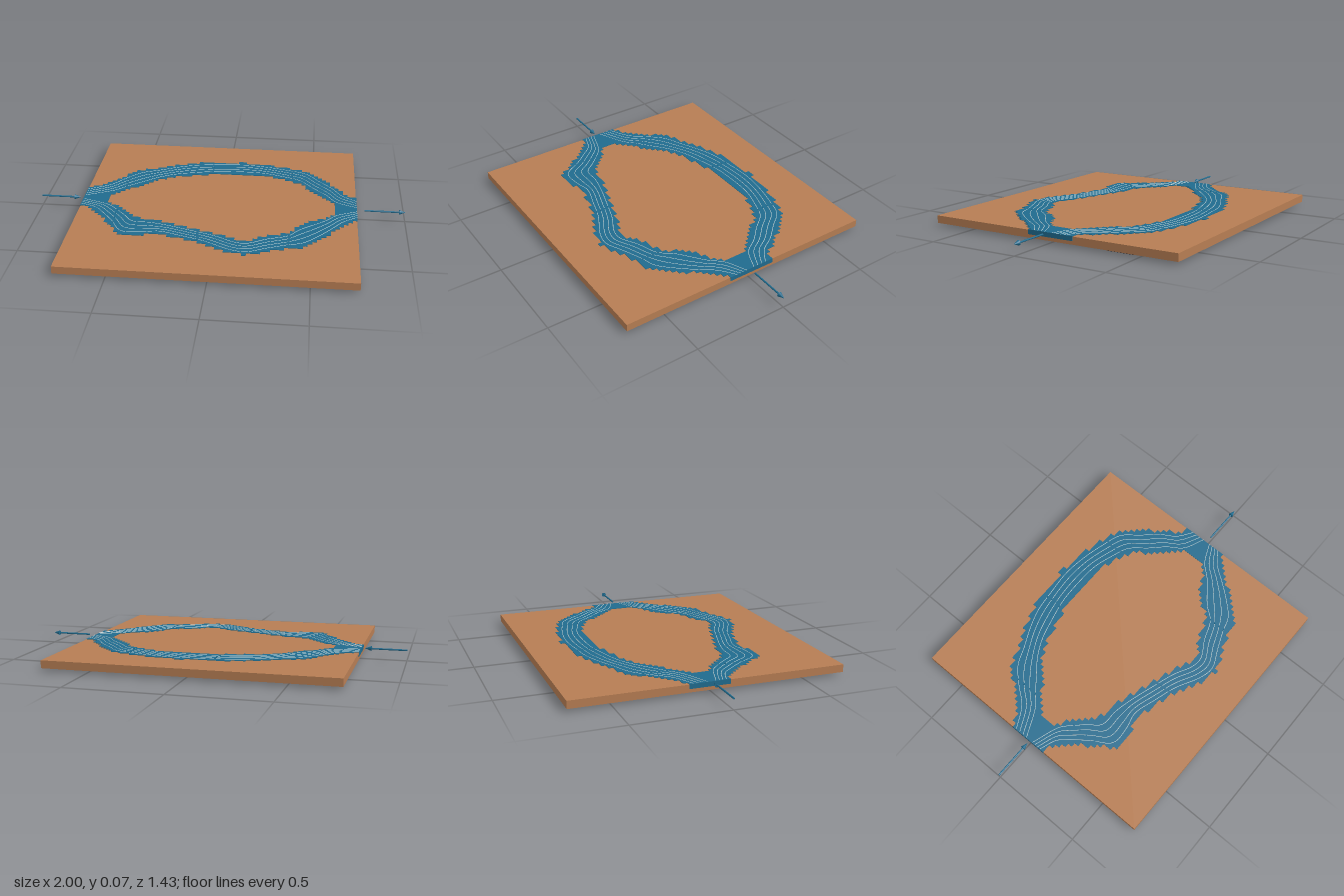
import * as THREE from 'three';
import { mergeGeometries } from 'three/addons/utils/BufferGeometryUtils.js';

// Channel outlines in plan (x, z): back and front branches, outer and inner walls
const BACK_OUTER = [[-.76, -.12], [-.66, -.18], [-.58, -.28], [-.5, -.365], [-.4, -.4], [-.29, -.45], [-.18, -.49], [-.07, -.5],
  [.08, -.515], [.21, -.5], [.35, -.47], [.47, -.43], [.54, -.35], [.62, -.26], [.67, -.18], [.74, -.12]];
const BACK_INNER = [[-.63, -.02], [-.59, -.08], [-.55, -.11], [-.47, -.17], [-.39, -.245], [-.3, -.295], [-.19, -.325], [-.05, -.36],
  [.09, -.365], [.22, -.36], [.33, -.325], [.41, -.29], [.49, -.2], [.56, -.13], [.62, -.05], [.63, 0]];
const FRONT_OUTER = [[-.76, .09], [-.69, .12], [-.64, .18], [-.58, .26], [-.5, .38], [-.39, .38], [-.31, .35], [-.18, .385], [-.07, .42],
  [.09, .5], [.17, .515], [.27, .475], [.38, .43], [.46, .42], [.54, .34], [.62, .235], [.67, .165], [.74, .1]];
const FRONT_INNER = [[-.63, .02], [-.59, .06], [-.55, .09], [-.48, .16], [-.44, .2], [-.34, .21], [-.24, .245], [-.1, .29], [.03, .335],
  [.11, .375], [.17, .38], [.27, .325], [.38, .28], [.43, .2], [.51, .14], [.56, .11], [.62, .05], [.63, .02]];

const PLATE = { x0: -.762, x1: .738, z: .714, bottom: .015, top: .055 };
const CHANNEL_TOP = .0575;

function inside(poly, x, z) {
  let hit = false;
  for (let i = 0, j = poly.length - 1; i < poly.length; j = i++) {
    const [ax, az] = poly[i], [bx, bz] = poly[j];
    if ((az > z) !== (bz > z) && x < (bx - ax) * (z - az) / (bz - az) + ax) hit = !hit;
  }
  return hit;
}

function box(x0, x1, y0, y1, z0, z1) {
  return new THREE.BoxGeometry(x1 - x0, y1 - y0, z1 - z0)
    .translate((x0 + x1) / 2, (y0 + y1) / 2, (z0 + z1) / 2);
}

// Stepped channel: grid cells between the two loops, joined into one bar per run
function channelGeometry() {
  const outer = [...BACK_OUTER, ...[...FRONT_OUTER].reverse()];
  const inner = [...BACK_INNER, ...[...FRONT_INNER].reverse()];
  const nx = 64, nz = 60, dx = (PLATE.x1 - PLATE.x0) / nx, dz = 2 * PLATE.z / nz;
  const bars = [];
  for (let k = 0; k < nz; k++) {
    const z = -PLATE.z + k * dz;
    let start = -1;
    for (let i = 0; i <= nx; i++) {
      const x = PLATE.x0 + (i + .5) * dx, zc = z + dz / 2;
      const wet = i < nx && inside(outer, x, zc) && !inside(inner, x, zc);
      if (wet && start < 0) start = i;
      if (!wet && start >= 0) {
        // Bars reaching an edge stand slightly proud as the port opening
        const a = PLATE.x0 + start * dx - (start === 0 ? .002 : 0);
        const b = PLATE.x0 + i * dx + (i === nx ? .002 : 0);
        bars.push(box(a, b, .033, CHANNEL_TOP, z, z + dz));
        start = -1;
      }
    }
  }
  return mergeGeometries(bars);
}

// Flow line at a fraction t of the way from the outer wall to the inner wall
function flowCurve(outer, inner, t) {
  const last = outer.length - 1;
  return new THREE.CatmullRomCurve3(outer.map(([x, z], i) => {
    const end = i === 0 || i === last;
    return new THREE.Vector3(
      end ? x : x + (inner[i][0] - x) * t,
      CHANNEL_TOP,
      end ? z * (1 - t) : z + (inner[i][1] - z) * t);
  }));
}

export function createModel() {
  const model = new THREE.Group();
  const material = (name, color) => new THREE.MeshStandardMaterial({ name, color });
  const copper = material('copper', 0xb67d53);
  const blue = material('coolant blue', 0x1f6b8e);
  const pale = material('flow line pale', 0xc9d8da);
  const dark = material('chip dark', 0x2b333e);
  const add = (name, geometry, mat, parent = model) => {
    const mesh = new THREE.Mesh(geometry, mat);
    mesh.name = name;
    parent.add(mesh);
    return mesh;
  };

  add('plate', box(PLATE.x0, PLATE.x1, PLATE.bottom, PLATE.top, -PLATE.z, PLATE.z), copper);
  add('channel', channelGeometry(), blue);

  // Flow lines with small direction markers
  const lines = [], markers = [];
  for (const [outer, inner] of [[BACK_OUTER, BACK_INNER], [FRONT_OUTER, FRONT_INNER]]) {
    for (const t of [.2, .4, .6, .8]) {
      const curve = flowCurve(outer, inner, t);
      lines.push(new THREE.TubeGeometry(curve, 80, .0016, 5));
      const samples = curve.getPoints(200);
      for (const x of [-.55, -.09, .38]) {
        const i = samples.findIndex(p => p.x > x);
        const dir = samples[i].clone().sub(samples[i - 1]).normalize();
        const turn = new THREE.Quaternion().setFromUnitVectors(new THREE.Vector3(0, 1, 0), dir);
        markers.push(new THREE.ConeGeometry(.004, .016, 8).applyQuaternion(turn)
          .translate(samples[i].x, CHANNEL_TOP, samples[i].z));
      }
    }
  }
  add('flowLines', mergeGeometries(lines), pale);
  add('flowMarkers', mergeGeometries(markers), blue);

  // Chips under the plate: centre x, centre z, width, depth
  const chips = [[-.012, 0, .27, .265],
    ...[[.605, -.385], [.122, -.435], [-.2, -.37], [-.625, -.375],
      [.525, .373], [.225, .462], [-.25, .413], [-.53, .462]].map(c => [...c, .18, .155])];
  const chipGroup = new THREE.Group();
  chipGroup.name = 'chips';
  for (const [x, z, w, d] of chips)
    add('chip', box(x - w / 2, x + w / 2, 0, PLATE.bottom, z - d / 2, z + d / 2), dark, chipGroup);
  model.add(chipGroup);

  // Inlet and outlet arrows, both pointing to +x
  for (const [name, x0, x1] of [['inletArrow', -1, -.78], ['outletArrow', .78, 1]]) {
    const arrow = new THREE.Group();
    arrow.name = name;
    const head = .035, shaft = x1 - x0 - head;
    add('shaft', new THREE.CylinderGeometry(.0045, .0045, shaft, 16).rotateZ(-Math.PI / 2)
      .translate(x0 + shaft / 2, .056, 0), blue, arrow);
    add('head', new THREE.ConeGeometry(.013, head, 20).rotateZ(-Math.PI / 2)
      .translate(x1 - head / 2, .056, 0), blue, arrow);
    model.add(arrow);
  }
  return model;
}
